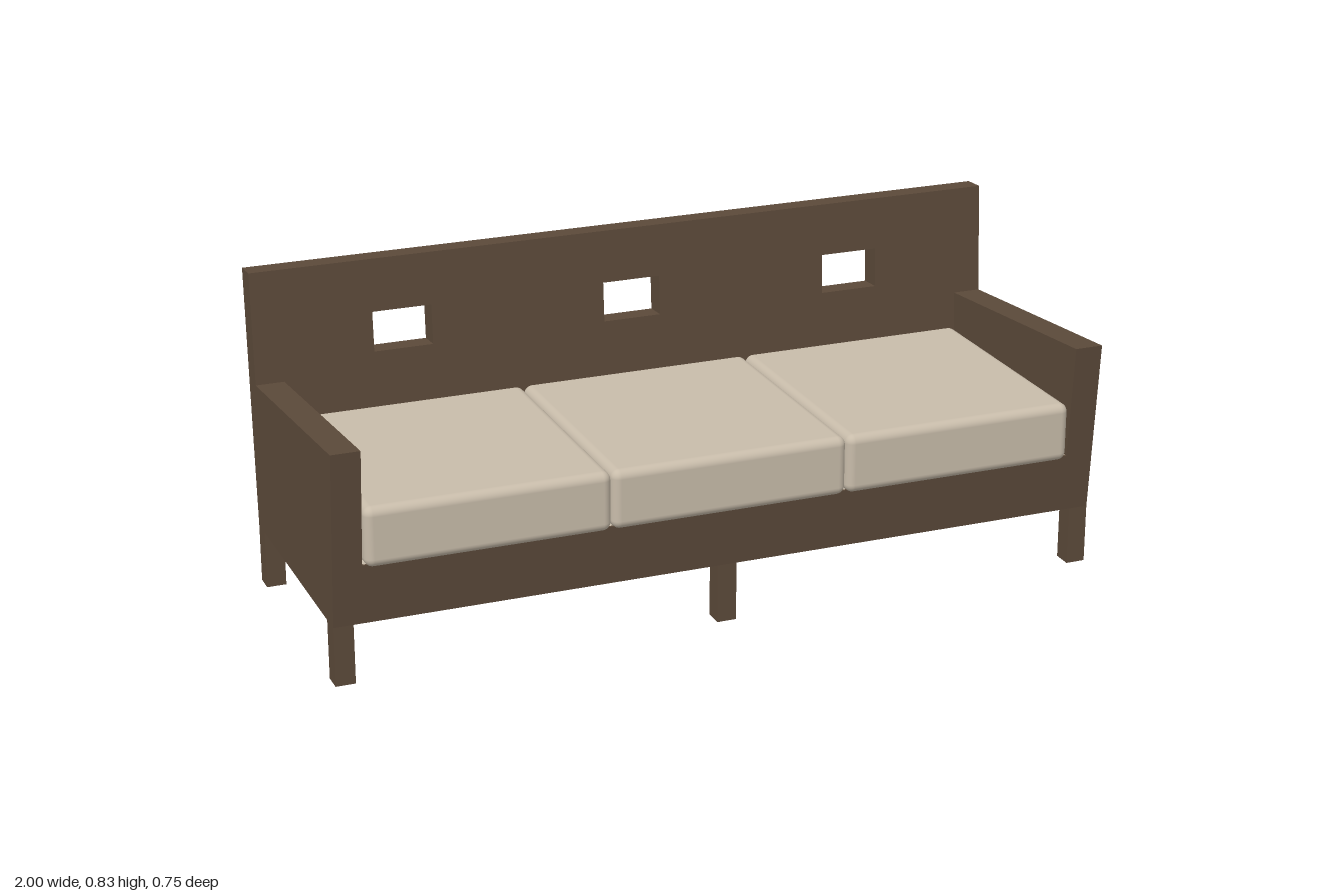
import * as THREE from 'three';
import { RoundedBoxGeometry } from 'three/addons/geometries/RoundedBoxGeometry.js';

const wood = new THREE.MeshStandardMaterial({ color: 0x5c4a3a });
const fabric = new THREE.MeshStandardMaterial({ color: 0xc8bcaa });

const DECK = 0.295;      // height of the seat deck
const BOTTOM = 0.152;    // lower edge of the body
const WALL = 0.006;      // thin skirt below the deck
const BACK = 0.061;      // backrest thickness
const LEAN = 0.0594;     // backrest lean
const frontZ = y => 0.338 + (y - BOTTOM) * 0.0826;
const backFrontZ = y => -0.2631 - LEAN * y;

function add(group, name, geometry, material) {
  const mesh = new THREE.Mesh(geometry, material);
  mesh.name = name;
  group.add(mesh);
  return mesh;
}

// Extrudes a side profile of [z, y] points from x0 to x1
function sideProfile(points, x0, x1) {
  const shape = new THREE.Shape(points.map(([z, y]) => new THREE.Vector2(-z, y)));
  return new THREE.ExtrudeGeometry(shape, { depth: x1 - x0, bevelEnabled: false })
    .rotateY(Math.PI / 2).translate(x0, 0, 0);
}

function rectangle(x0, x1, y0, y1, Type = THREE.Shape) {
  return new Type([[x0, y0], [x1, y0], [x1, y1], [x0, y1]].map(p => new THREE.Vector2(...p)));
}

// Leaning panel whose rear face follows the backrest line
function leaningPanel(shape, depth) {
  const g = new THREE.ExtrudeGeometry(shape, { depth, bevelEnabled: false });
  const p = g.attributes.position;
  for (let i = 0; i < p.count; i++) {
    const y = p.getY(i), z = p.getZ(i);
    const tilt = y > DECK ? LEAN * (z - BACK) : 0;
    p.setXYZ(i, p.getX(i), y + tilt, backFrontZ(y) - BACK + z);
  }
  g.computeVertexNormals();
  return g;
}

export function createModel() {
  const sofa = new THREE.Group();
  sofa.name = 'sofa';

  // Backrest with three windows, and its skirt
  const back = rectangle(-1, 1, DECK, 0.826);
  for (const x of [-0.615, 0, 0.615]) {
    back.holes.push(rectangle(x - 0.077, x + 0.077, 0.587, 0.69, THREE.Path));
  }
  add(sofa, 'backrest', leaningPanel(back, BACK), wood);
  add(sofa, 'backSkirt', leaningPanel(rectangle(-1, 1, BOTTOM, DECK), WALL), wood);

  // Arms with sloping tops, and side skirts
  for (const side of [-1, 1]) {
    const label = side > 0 ? 'left' : 'right';
    const span = (inner, outer) => (side > 0 ? [inner, outer] : [-outer, -inner]);
    add(sofa, label + 'Arm', sideProfile([
      [frontZ(DECK), DECK], [0.375, 0.6], [backFrontZ(0.54), 0.54], [backFrontZ(DECK), DECK],
    ], ...span(0.927, 1)), wood);
    add(sofa, label + 'Skirt', sideProfile([
      [frontZ(BOTTOM), BOTTOM], [frontZ(DECK), DECK],
      [backFrontZ(DECK) - BACK, DECK], [backFrontZ(BOTTOM) - BACK, BOTTOM],
    ], ...span(1 - WALL, 1)), wood);
  }

  // Front apron, flush with the arms
  add(sofa, 'frontApron', sideProfile([
    [frontZ(BOTTOM), BOTTOM], [frontZ(0.305), 0.305],
    [frontZ(0.305) - WALL, 0.305], [frontZ(BOTTOM) - WALL, BOTTOM],
  ], -1, 1), wood);

  // Seat deck and three cushions
  add(sofa, 'seatDeck', new THREE.BoxGeometry(1.854, 0.01, 0.625).translate(0, DECK + 0.005, 0.033), fabric);
  for (let i = -1; i <= 1; i++) {
    const cushion = add(sofa, 'seatCushion', new RoundedBoxGeometry(0.614, 0.152, 0.656, 5, 0.022), fabric);
    cushion.position.set(i * 0.615, 0.374, 0.038);
  }

  // Six square legs
  for (const x of [-0.975, 0, 0.975]) {
    for (const [name, z] of [['frontLeg', 0.313], ['backLeg', -0.308]]) {
      add(sofa, name, new THREE.BoxGeometry(0.05, BOTTOM, 0.05).translate(x, BOTTOM / 2, z), wood);
    }
  }
  return sofa;
}
